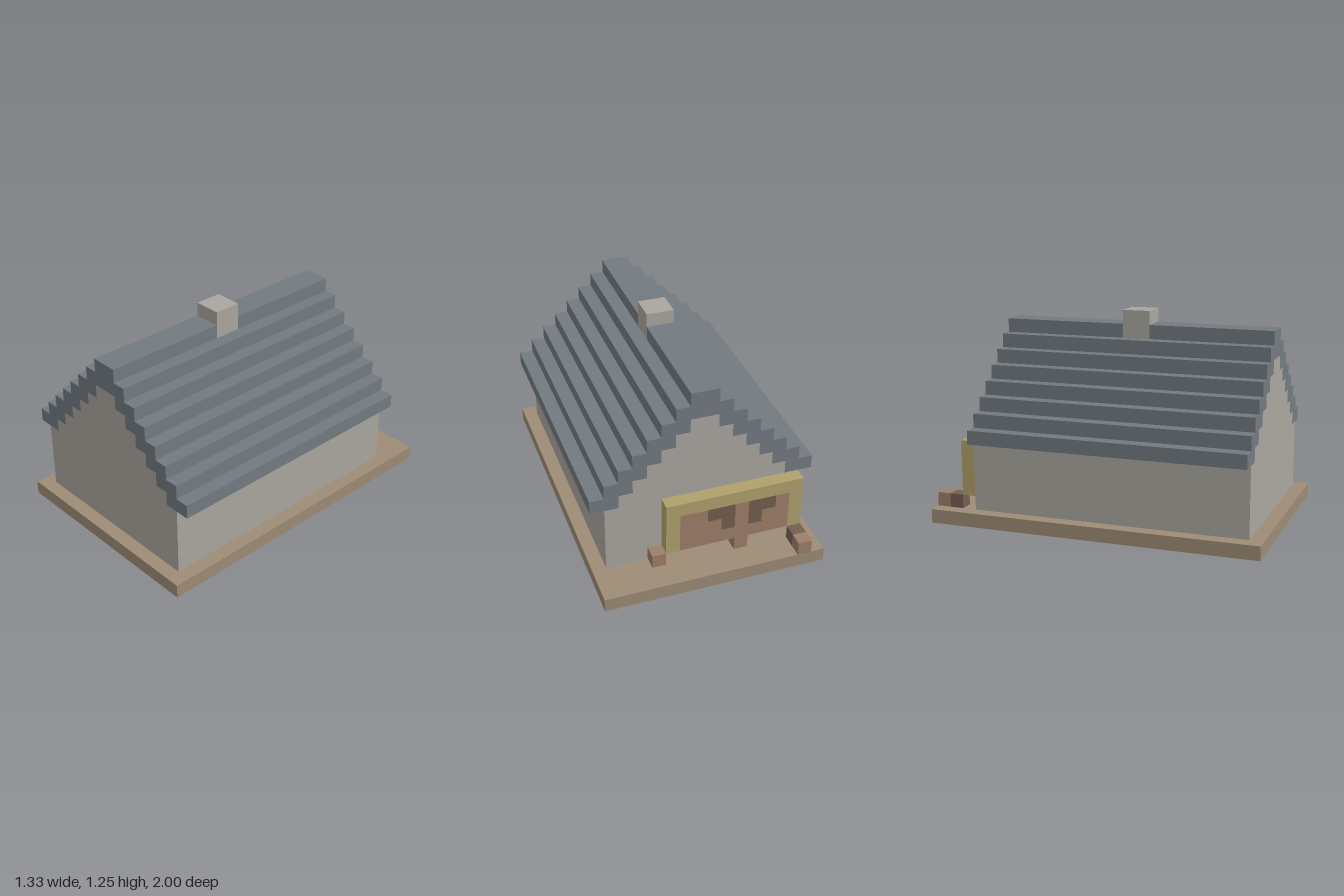
import * as THREE from 'three';

const mat = (color) => new THREE.MeshStandardMaterial({ color, side: THREE.DoubleSide, flatShading: true });

// Outline on the ground plane from [x, z] points
const outline = (pts) => new THREE.Shape(pts.map(([x, z]) => new THREE.Vector2(x, -z)));
const rect = (x0, z0, x1, z1) => outline([[x0, z0], [x1, z0], [x1, z1], [x0, z1]]);

// Removes the faces that close a geometry from below
function openBottom(geometry) {
  const g = geometry.index ? geometry.toNonIndexed() : geometry;
  g.computeBoundingBox();
  const low = g.boundingBox.min.y + 1e-4;
  const p = g.attributes.position;
  const kept = [];
  for (let i = 0; i < p.count; i += 3) {
    if (p.getY(i) < low && p.getY(i + 1) < low && p.getY(i + 2) < low) continue;
    for (let k = i; k < i + 3; k++) kept.push(p.getX(k), p.getY(k), p.getZ(k));
  }
  const out = new THREE.BufferGeometry();
  out.setAttribute('position', new THREE.Float32BufferAttribute(kept, 3));
  out.computeVertexNormals();
  return out;
}

// Box between two corners, in blocks
function block(x0, x1, y0, y1, z0, z1) {
  return new THREE.BoxGeometry(x1 - x0, y1 - y0, z1 - z0)
    .translate((x0 + x1) / 2, (y0 + y1) / 2, (z0 + z1) / 2);
}

export function createModel() {
  const house = new THREE.Group();
  house.name = 'house';
  house.scale.setScalar(1 / 12); // all sizes below are in blocks

  const ground = mat(0x9d8b75);
  const stone = mat(0xaaa69f);
  const slate = mat(0x727a81);
  const yellow = mat(0xb0a06c);
  const brown = mat(0x9e7f68);
  const darkBrown = mat(0x735f50);

  const add = (name, geometry, material, parent = house) => {
    const mesh = new THREE.Mesh(geometry, material);
    mesh.name = name;
    parent.add(mesh);
    return mesh;
  };

  const back = -9, front = 11;

  // Base: a skirt without caps, and a floor cut out under the walls and chimney
  [[-8, 8, 12], [8, -8, -12]].forEach(([, , z]) =>
    add('baseEnd', new THREE.PlaneGeometry(16, 1).rotateY(z < 0 ? Math.PI : 0).translate(0, 0.5, z), ground));
  [-1, 1].forEach((s) =>
    add('baseSide', new THREE.PlaneGeometry(24, 1).rotateY(s * Math.PI / 2).translate(s * 8, 0.5, 0), ground));

  const yard = rect(-8, -12, 8, 12);
  yard.holes.push(outline([
    [-7, back], [-3, back], [-3, back - 1], [-2, back - 1], [-2, back],
    [3, back], [3, back - 1], [4, back - 1], [4, back],
    [7, back], [7, front], [-7, front],
  ]));
  const room = rect(-6, back + 1, 6, front - 1);
  room.holes.push(rect(-1, 0, 1, 2));
  add('yard', new THREE.ShapeGeometry(yard).rotateX(-Math.PI / 2).translate(0, 1, 0), ground);
  add('roomFloor', new THREE.ShapeGeometry(room).rotateX(-Math.PI / 2).translate(0, 1, 0), ground);

  // Walls: one ring around the room
  const ring = rect(-7, back, 7, front);
  ring.holes.push(rect(-6, back + 1, 6, front - 1));
  const ringGeometry = new THREE.ExtrudeGeometry(ring, { depth: 5, bevelEnabled: false });
  add('walls', openBottom(ringGeometry.rotateX(-Math.PI / 2).translate(0, 1, 0)), stone);

  // Stepped gables on both ends
  const gablePts = [];
  for (let k = 6; k >= 1; k--) gablePts.push([-k, 12 - k]);
  const left = [];
  gablePts.forEach(([x, y]) => left.push(new THREE.Vector2(x, y), new THREE.Vector2(x, y + 1)));
  const right = left.map((v) => new THREE.Vector2(-v.x, v.y)).reverse();
  const gable = new THREE.Shape([...left, ...right]);
  [['frontGable', front - 1], ['backGable', back]].forEach(([name, z]) =>
    add(name, new THREE.ExtrudeGeometry(gable, { depth: 1, bevelEnabled: false }).translate(0, 0, z), stone));

  // Stepped roof slopes, mirrored left and right
  for (const s of [-1, 1]) {
    const pts = [];
    for (let k = 1; k <= 7; k++) pts.push([k, 14 - k], [k + 1, 14 - k]);
    pts.push([8, 6], [6, 6]);
    for (let k = 5; k >= 1; k--) pts.push([k + 1, 12 - k], [k, 12 - k]);
    const slope = new THREE.Shape(pts.map(([x, y]) => new THREE.Vector2(s * x, y)));
    add(s > 0 ? 'leftRoof' : 'rightRoof',
      new THREE.ExtrudeGeometry(slope, { depth: front - back, bevelEnabled: false }).translate(0, 0, back), slate);
  }

  // Ridge on either side of the chimney
  add('frontRidge', block(-1, 1, 12, 14, 2, front), slate);
  add('backRidge', block(-1, 1, 12, 14, back, 0), slate);
  add('chimney', openBottom(block(-1, 1, 1, 15, 0, 2)), stone);

  // Framed panel on the back wall, seen from behind: frame, board, dark inset
  const panel = new THREE.Group();
  panel.name = 'backPanel';
  house.add(panel);
  const cells = { Y: ['panelFrame', yellow], B: ['panelBoard', brown], D: ['panelInset', darkBrown] };
  ['YYYYYYYYYY', 'YBBDDBDDBY', 'YBBBDBDBBY', 'YBBBBBBBBY'].forEach((row, r) => {
    [...row].forEach((c, i) => {
      const [name, material] = cells[c];
      add(name, block(2 - i, 3 - i, 5 - r, 6 - r, back - 1, back), material, panel);
    });
  });

  // Blocks under and beside the panel
  [3, -3].forEach((x) => add('panelFoot', openBottom(block(x, x + 1, 1, 2, back - 1, back)), brown));
  add('stepInner', block(-7, -6, 1, 2, -11, -10), darkBrown);
  add('stepOuter', block(-7, -6, 1, 2, -12, -11), brown);

  const model = new THREE.Group();
  model.name = 'model';
  model.add(house);
  return model;
}
